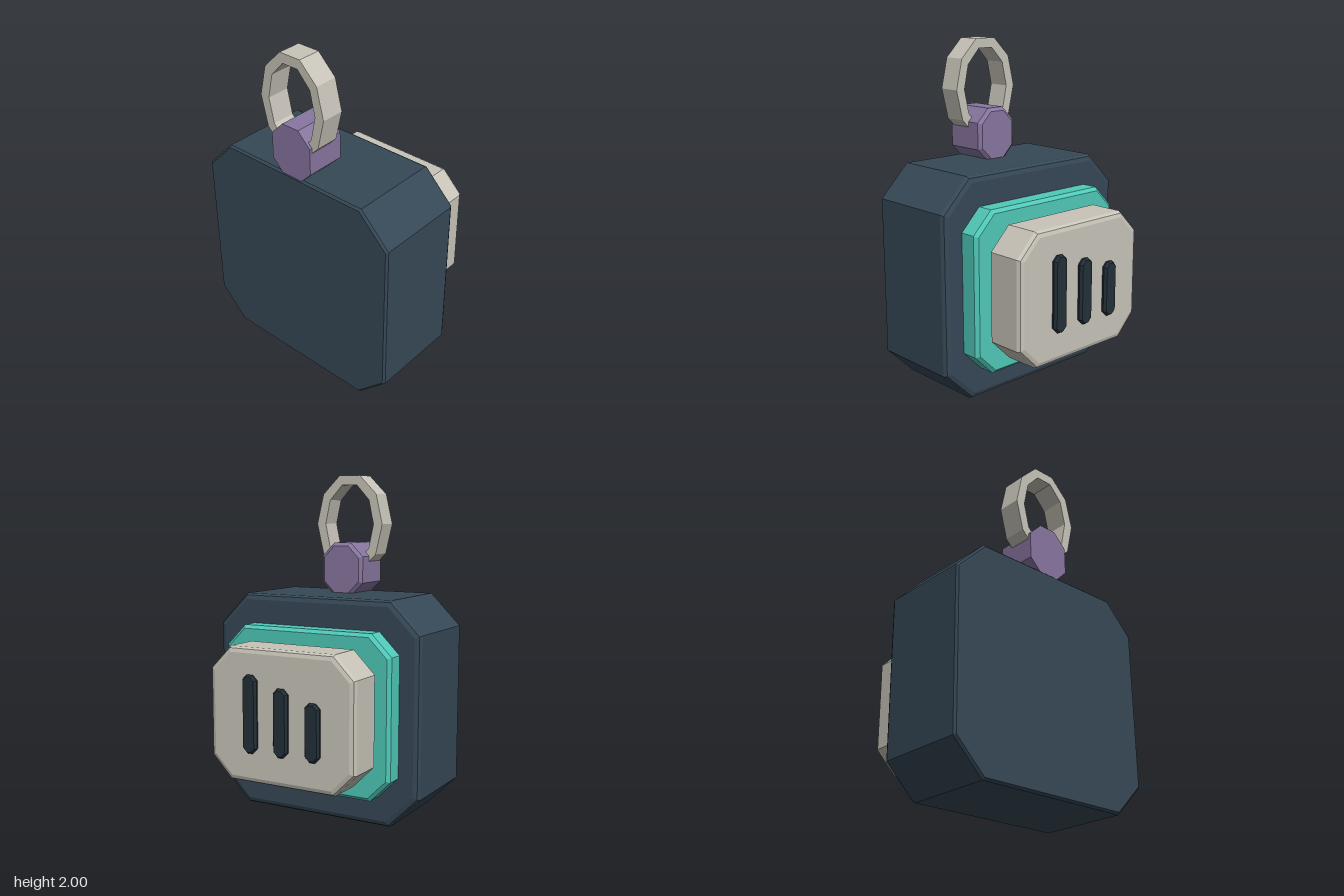
import * as THREE from 'three';

const mat = (name, color) => {
  const m = new THREE.MeshStandardMaterial({ color });
  m.name = name;
  return m;
};

// Cut-corner rectangle, counter-clockwise from the front, shrunk evenly by d
function octagon(hw, hh, cut, d) {
  const w = hw - d, h = hh - d, c = cut - d * (2 - Math.SQRT2);
  return [
    [w, h - c], [w - c, h], [-w + c, h], [-w, h - c],
    [-w, -h + c], [-w + c, -h], [w - c, -h], [w, -h + c],
  ];
}

// Solid with cut corners; sections run from back to front as [z, inset]
function bevelledBlock(hw, hh, cut, sections) {
  const rings = sections.map(([z, d]) =>
    octagon(hw, hh, cut, d).map(([x, y]) => [x, y, z]));
  const pos = [];
  const tri = (a, b, c) => pos.push(...a, ...b, ...c);
  for (let s = 0; s < rings.length - 1; s++) {
    for (let i = 0; i < 8; i++) {
      const j = (i + 1) % 8, back = rings[s], front = rings[s + 1];
      tri(back[i], back[j], front[j]);
      tri(back[i], front[j], front[i]);
    }
  }
  const first = rings[0], last = rings[rings.length - 1];
  for (let i = 1; i < 7; i++) {
    tri(first[0], first[i + 1], first[i]);
    tri(last[0], last[i], last[i + 1]);
  }
  const g = new THREE.BufferGeometry();
  g.setAttribute('position', new THREE.Float32BufferAttribute(pos, 3));
  g.computeVertexNormals();
  return g;
}

// Ten-sided oval outline
const oval = (rx, ry) => Array.from({ length: 10 }, (_, i) => {
  const a = (i * Math.PI) / 5;
  return new THREE.Vector2(rx * Math.cos(a), ry * Math.sin(a));
});

export function createModel() {
  const group = new THREE.Group();
  const slate = mat('slate', 0x364856);
  const teal = mat('teal', 0x50c9b9);
  const cream = mat('cream', 0xc8c4b9);
  const purple = mat('purple', 0x8876a0);
  const charcoal = mat('charcoal', 0x222f38);

  const add = (name, geometry, material, x, y) => {
    const mesh = new THREE.Mesh(geometry, material);
    mesh.name = name;
    mesh.position.set(x, y, 0);
    group.add(mesh);
  };

  // Main case
  add('case', bevelledBlock(0.668, 0.65, 0.185,
    [[-0.083, 0.035], [-0.073, 0.011], [-0.053, 0], [0.48, 0], [0.492, 0.012]]), slate, 0, 0.65);

  // Raised plate on the back
  add('backPlate', bevelledBlock(0.543, 0.475, 0.125,
    [[-0.2, 0.02], [-0.18, 0], [-0.07, 0]]), teal, 0, 0.65);

  // Pad standing just off the plate
  add('pad', bevelledBlock(0.468, 0.388, 0.13,
    [[-0.465, 0.032], [-0.457, 0.01], [-0.437, 0], [-0.235, 0], [-0.225, 0.01]]), cream, 0, 0.65);

  // Three bars of falling height, level at the bottom
  [0.33, 0.39, 0.45].forEach((h, i) => {
    add('bar' + (i + 1), bevelledBlock(0.047, h / 2, 0.03,
      [[-0.498, 0.011], [-0.482, 0], [-0.455, 0.008]]), charcoal, -0.218 + i * 0.202, 0.44 + h / 2);
  });

  // Hanger lug on top
  add('lug', bevelledBlock(0.137, 0.16, 0.081,
    [[0.232, 0.02], [0.25, 0], [0.487, 0]]), purple, 0, 1.44);

  // Oval ring through the lug
  const shape = new THREE.Shape(oval(0.223, 0.305));
  shape.holes.push(new THREE.Path(oval(0.164, 0.245)));
  const ring = new THREE.ExtrudeGeometry(shape, { depth: 0.138, bevelEnabled: false });
  ring.translate(0, 0, 0.332);
  add('ring', ring, cream, 0, 1.71);

  return group;
}
